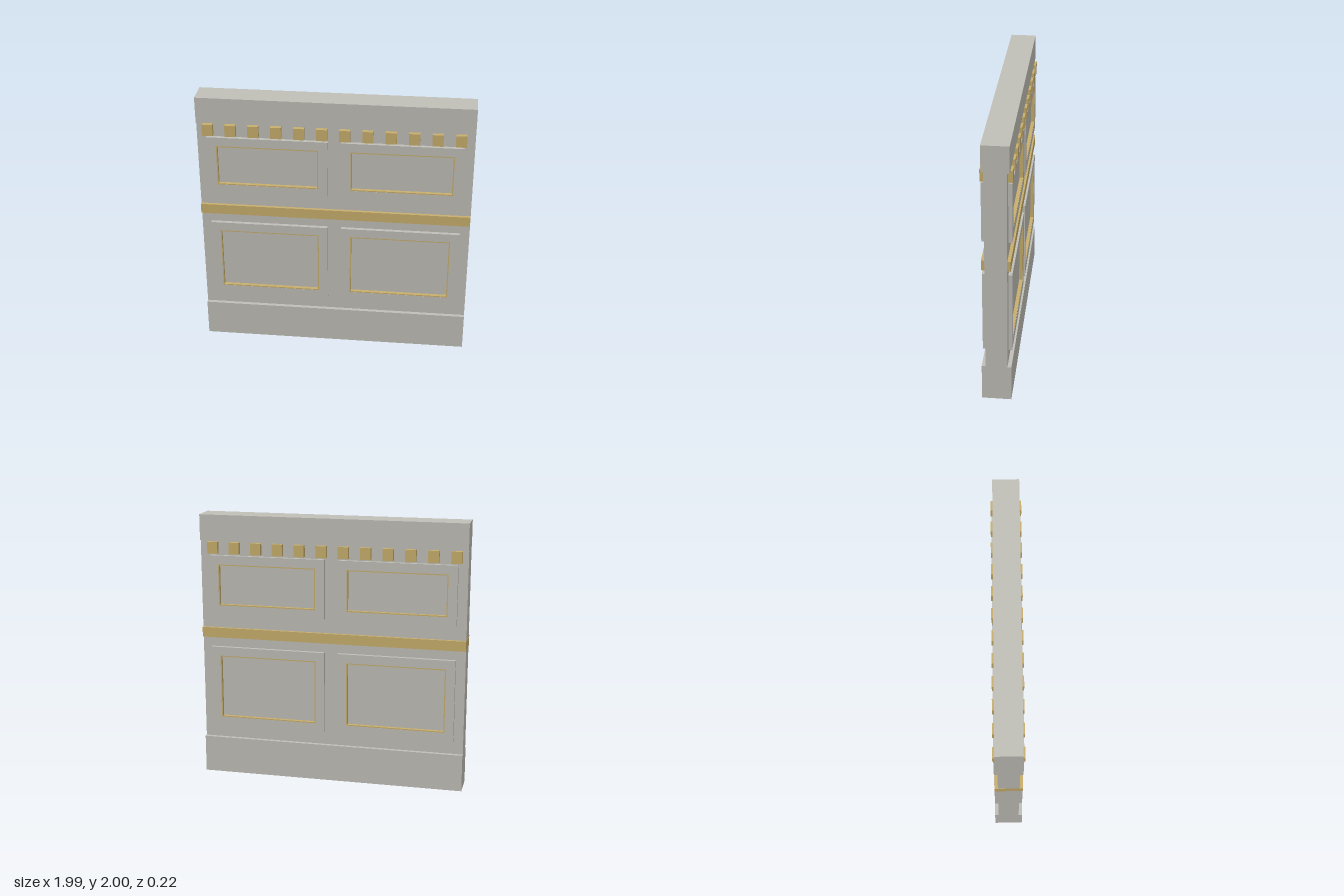
import * as THREE from 'three';

const stone = new THREE.MeshStandardMaterial({ color: 0xc0beb7 });
stone.name = 'stone grey';
const gold = new THREE.MeshStandardMaterial({ color: 0xc8ae6c });
gold.name = 'muted gold';

const WIDTH = 1.99;
const WALL_Z = 0.077; // half thickness of the wall core

function box(name, material, w, y0, y1, z0, z1, x = 0) {
  const mesh = new THREE.Mesh(new THREE.BoxGeometry(w, y1 - y0, z1 - z0), material);
  mesh.position.set(x, (y0 + y1) / 2, (z0 + z1) / 2);
  mesh.name = name;
  return mesh;
}

// Rectangular ring standing on the wall face
function ring(name, material, w, h, border, depth) {
  const rect = (target, a, b) => {
    target.moveTo(-a, -b);
    target.lineTo(a, -b);
    target.lineTo(a, b);
    target.lineTo(-a, b);
    target.closePath();
    return target;
  };
  const shape = rect(new THREE.Shape(), w / 2, h / 2);
  shape.holes.push(rect(new THREE.Path(), w / 2 - border, h / 2 - border));
  const geometry = new THREE.ExtrudeGeometry(shape, { depth, bevelEnabled: false });
  const mesh = new THREE.Mesh(geometry, material);
  mesh.name = name;
  return mesh;
}

// Raised frame with a gold lining around the recess
function panel(x, y0, y1) {
  const w = 0.874, h = y1 - y0, border = 0.067, lining = 0.008;
  const group = new THREE.Group();
  group.name = 'panel';
  group.add(ring('panelFrame', stone, w, h, border, 0.027));
  group.add(ring('panelLining', gold, w - 2 * border, h - 2 * border, lining, 0.026));
  group.position.set(x, (y0 + y1) / 2, WALL_Z);
  return group;
}

// Panels and dentils of one face; the dentil row sits slightly off centre
function face(name, dentilShift) {
  const group = new THREE.Group();
  group.name = name;
  for (const side of [-1, 1]) {
    group.add(panel(side * 0.487, 0.38, 1.0));
    group.add(panel(side * 0.487, 1.255, 1.7));
  }
  for (let i = 0; i < 12; i++) {
    const x = (i - 5.5) * 0.1645 + dentilShift;
    group.add(box('dentil', gold, 0.078, 1.713, 1.8, WALL_Z, 0.109, x));
  }
  return group;
}

export function createModel() {
  const model = new THREE.Group();
  model.name = 'panelledWall';

  // Wall core, plinth and cap
  model.add(box('wallCore', stone, WIDTH, 0.28, 1.808, -WALL_Z, WALL_Z));
  model.add(box('plinth', stone, WIDTH, 0, 0.28, -0.105, 0.105));
  model.add(box('cap', stone, WIDTH, 1.808, 2, -0.094, 0.094));

  // Gold rail running through the wall, showing on its right end
  model.add(box('rail', gold, WIDTH, 1.073, 1.148, -0.1, 0.1, -0.001));

  // Matching decoration on both faces
  const front = face('frontFace', -0.008);
  const back = face('backFace', 0.008);
  back.rotation.y = Math.PI;
  model.add(front, back);
  return model;
}
